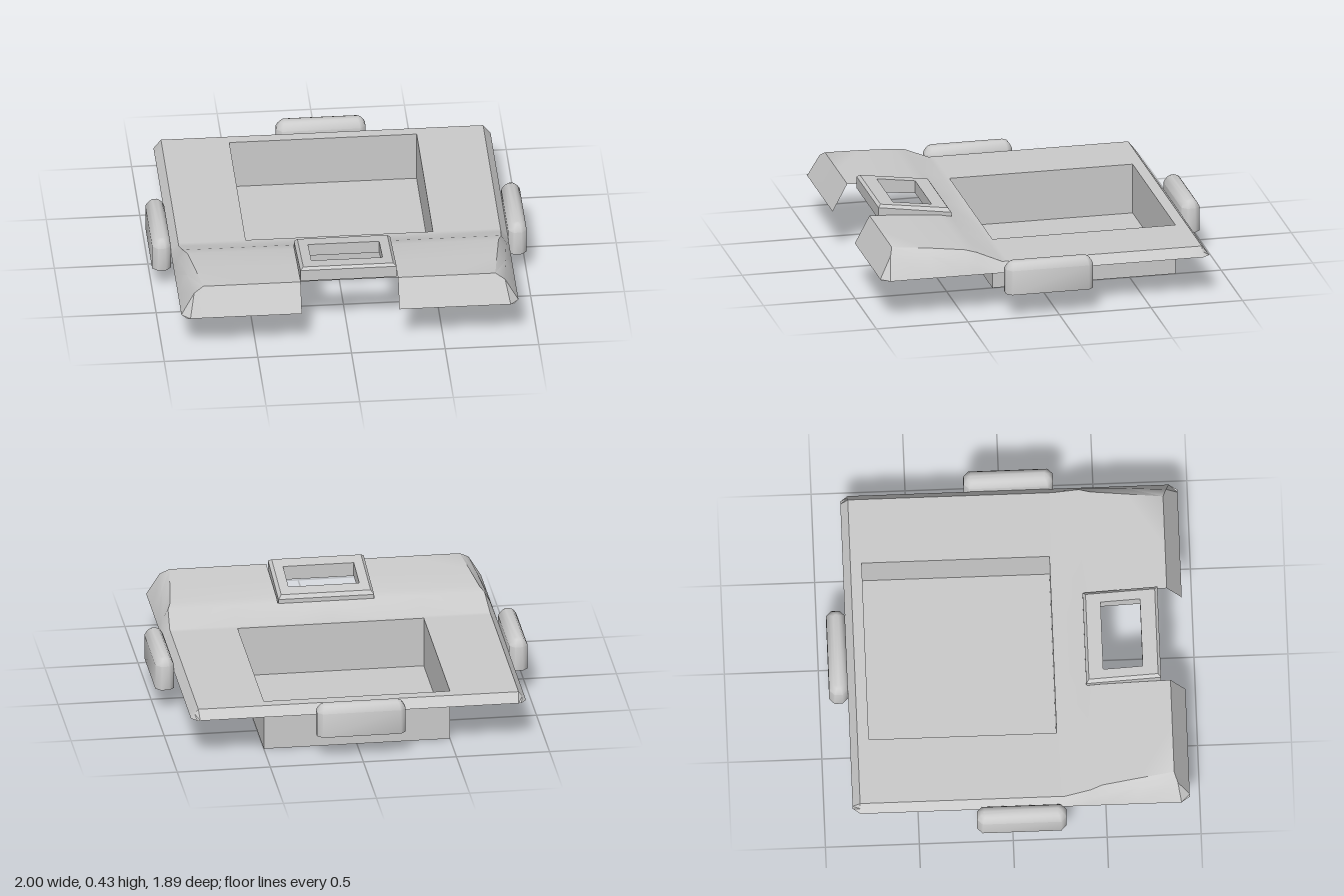
import * as THREE from 'three';
import { toCreasedNormals } from 'three/addons/utils/BufferGeometryUtils.js';

const solid = new THREE.MeshStandardMaterial({ color: 0xcccccc });
const sheet = new THREE.MeshStandardMaterial({ color: 0xcccccc, side: THREE.DoubleSide });

function makeMesh(name, positions, index, material, crease) {
  const g = new THREE.BufferGeometry();
  g.setAttribute('position', new THREE.Float32BufferAttribute(positions, 3));
  g.setIndex(index);
  const mesh = new THREE.Mesh(toCreasedNormals(g, crease), material);
  mesh.name = name;
  return mesh;
}

// Skin a stack of equal-length loops, counter-clockwise from above
function loft(name, loops, { bottom = false, top = false, closed = false, material = solid, crease = 0.6 } = {}) {
  const n = loops[0].length;
  const index = [];
  const spans = closed ? loops.length : loops.length - 1;
  for (let r = 0; r < spans; r++) {
    const lo = r * n, hi = ((r + 1) % loops.length) * n;
    for (let i = 0; i < n; i++) {
      const j = (i + 1) % n;
      index.push(lo + i, lo + j, hi + j, lo + i, hi + j, hi + i);
    }
  }
  const t = (loops.length - 1) * n;
  for (let i = 1; i < n - 1; i++) {
    if (bottom) index.push(0, i + 1, i);
    if (top) index.push(t, t + i, t + i + 1);
  }
  return makeMesh(name, loops.flat(2), index, material, crease);
}

const rect = (w, z0, z1, yAt) =>
  [[w, z1], [w, z0], [-w, z0], [-w, z1]].map(([x, z]) => [x, yAt(z), z]);

// Rectangle with clipped corners
function octagon(hx, hz, c, y) {
  return [[hx, hz - c], [hx, c - hz], [hx - c, -hz], [c - hx, -hz],
    [-hx, c - hz], [-hx, hz - c], [c - hx, hz], [hx - c, hz]].map(([x, z]) => [x, y, z]);
}

// Sloped-edge shell with a rectangular opening and a notch at the front
function makeDeck() {
  const flat = [0.275, 0.86, 0.88, 0.25, 0.9];
  // z, top y, shoulder x, mid x, mid y, rim x, rim z
  const rows = [
    [-0.85, 0.225, 0.84, 0.855, 0.225, 0.87],
    [-0.81, ...flat], [-0.75, ...flat], [0.25, ...flat], [0.28, ...flat],
    [0.42, 0.335, 0.85, 0.88, 0.28, 0.9],
    [0.48, 0.347, 0.83, 0.87, 0.3, 0.9],
    [0.67, 0.363, 0.805, 0.85, 0.33, 0.9],
    [0.865, 0.375, 0.78, 0.83, 0.345, 0.9, 0.9],
    [0.945, 0.225, 0.84, 0.855, 0.225, 0.87],
  ];
  const positions = [], index = [], n = 11;
  for (const [z, y, shoulder, mid, midY, rim, rimZ = z] of rows) {
    const half = [[rim, 0.225, rimZ], [mid, midY, (z + rimZ) / 2],
      [shoulder, y, z], [0.5, y, z], [0.26, y, z]];
    const left = half.map(([x, h, d]) => [-x, h, d]);
    positions.push(...left.flat(), 0, y, z, ...half.reverse().flat());
  }
  for (let r = 0; r < rows.length - 1; r++) {
    for (let c = 0; c < n - 1; c++) {
      const opening = r === 2 && c >= 3 && c <= 6;
      const notch = r >= 5 && c >= 4 && c <= 5;
      if (opening || notch) continue;
      const a = r * n + c, b = a + n;
      // mirror the diagonals about the middle
      if (c < 5) index.push(a, b, b + 1, a, b + 1, a + 1);
      else index.push(a, b, a + 1, b, b + 1, a + 1);
    }
  }
  return makeMesh('deck', positions, index, sheet, 0.6);
}

// Upright pad with a flat base and rounded top
function makePad(name, hx, hz, x, z) {
  const loops = [[0, 0.13], [0, 0.265], [0.01, 0.285], [0.022, 0.301], [0.036, 0.308]]
    .map(([inset, y]) => octagon(hx - inset, hz - inset, Math.max(0.028 - inset * 0.5, 0.008), y));
  const pad = loft(name, loops, { bottom: true, top: true, crease: 0.8 });
  pad.position.set(x, 0, z);
  return pad;
}

export function createModel() {
  const model = new THREE.Group();
  model.name = 'tray';
  model.add(makeDeck());

  // Sunken well
  model.add(loft('well', [rect(0.5, -0.75, 0.25, () => 0), rect(0.5, -0.75, 0.25, () => 0.275)],
    { bottom: true, material: sheet, crease: 0.2 }));

  // Tilted rectangular frame in the notch
  const plane = (y, slope) => (z) => y + slope * (z - 0.42);
  const topY = plane(0.376, 0.135), edgeY = plane(0.357, 0.145), baseY = plane(0.31, 0.1);
  model.add(loft('frame', [
    rect(0.257, 0.417, 0.815, baseY),
    rect(0.257, 0.417, 0.815, edgeY),
    rect(0.24, 0.432, 0.8, topY),
    rect(0.19, 0.51, 0.72, topY),
    rect(0.19, 0.51, 0.72, baseY),
  ], { closed: true, crease: 0.2 }));

  // Pads on both sides and at the back
  model.add(makePad('leftPad', 0.05, 0.238, 0.95, 0.047));
  model.add(makePad('rightPad', 0.05, 0.238, -0.95, 0.047));
  model.add(makePad('backPad', 0.238, 0.05, 0, -0.9));
  return model;
}
